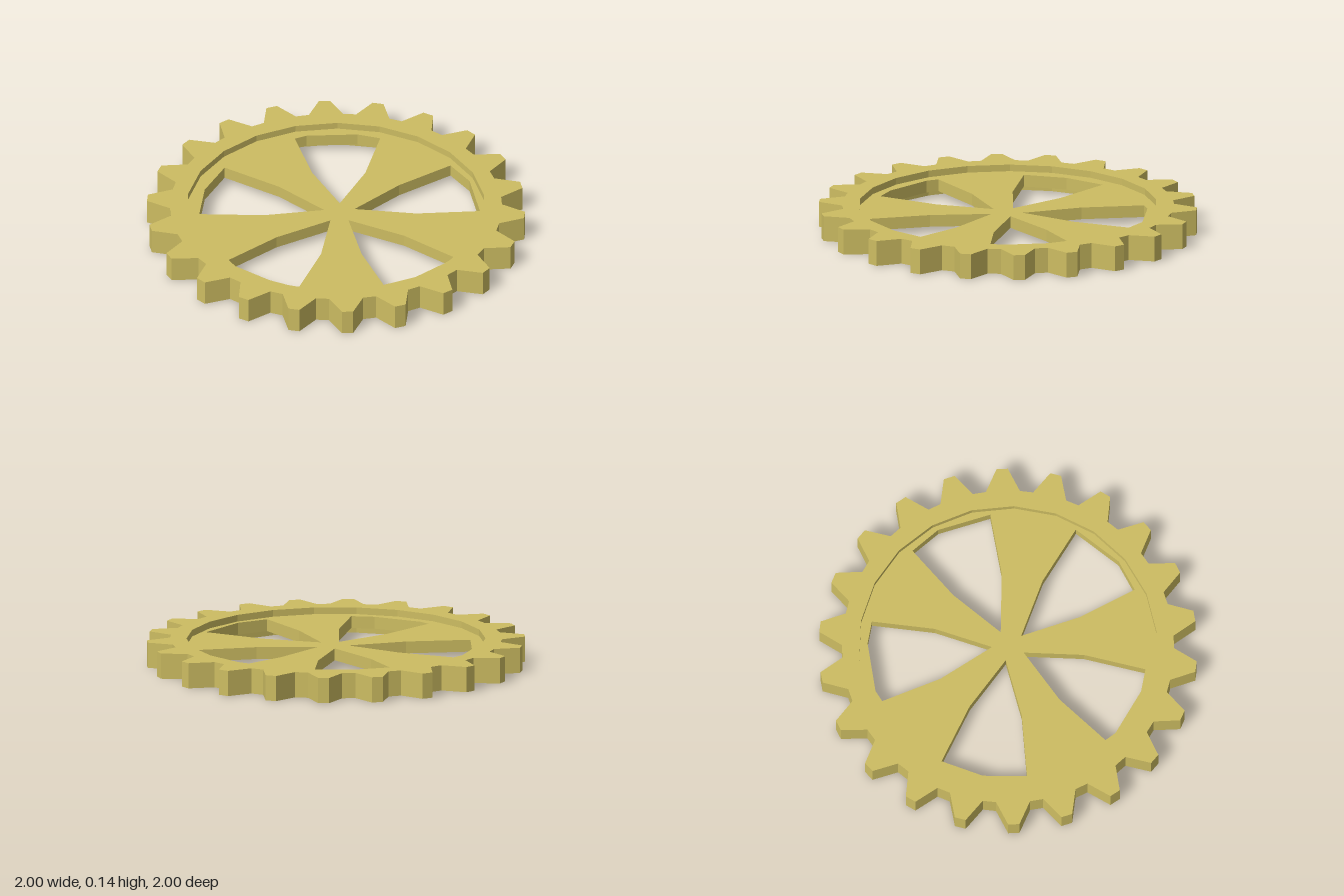
import * as THREE from 'three';

const TEETH = 22;
const STEP = (Math.PI * 2) / TEETH;
const HEIGHT = 0.136;
const RECESS = 0.036;

// Point at a counterclockwise angle from the back (-z), in plan (x, -z)
const polar = (r, a) => new THREE.Vector2(-r * Math.sin(a), r * Math.cos(a));

// Regular polygon outline
const polygon = (r) => Array.from({ length: TEETH }, (_, i) => polar(r, i * STEP));

// Extrude a plan shape upward from y0
function slab(shape, y0, height, material, name) {
  const geometry = new THREE.ExtrudeGeometry(shape, { depth: height, bevelEnabled: false });
  geometry.rotateX(-Math.PI / 2);
  geometry.translate(0, y0, 0);
  const mesh = new THREE.Mesh(geometry, material);
  mesh.name = name;
  return mesh;
}

// Toothed outline: a narrow flat tip and a short flat root per tooth
function toothOutline() {
  const deg = Math.PI / 180;
  const root = STEP / 2 - 2.3 * deg;
  const points = [];
  for (let i = 0; i < TEETH; i++) {
    const a = 4.1 * deg + i * STEP;
    points.push(
      polar(0.877, a - root), polar(1, a - 1.7 * deg),
      polar(1, a + 1.7 * deg), polar(0.877, a + root)
    );
  }
  return points;
}

// Openings between the five flared spokes, in plan (x, -z)
const sideOpening = [[-0.685, 0.23], [-0.355, 0.14], [-0.065, 0], [-0.355, -0.14], [-0.685, -0.23], [-0.725, 0]];
const mirroredOpenings = [
  [[0.02, 0.735], [-0.105, 0.735], [-0.36, 0.645], [-0.41, 0.6], [-0.23, 0.32], [-0.005, 0.085], [0.04, 0.4]],
  [[0.45, 0.597], [0.59, 0.485], [0.725, 0.23], [0.41, 0.11], [0.085, 0.055], [0.245, 0.34]],
];

export function createModel() {
  const group = new THREE.Group();
  group.name = 'gearWheel';
  const brass = new THREE.MeshStandardMaterial({ color: 0xcdbd62 });
  brass.name = 'brass';

  // Toothed rim
  const rim = new THREE.Shape(toothOutline());
  rim.holes.push(new THREE.Path(polygon(0.79)));
  group.add(slab(rim, 0, HEIGHT, brass, 'toothedRim'));

  // Thinner spoked disc, recessed on both faces and let into the rim
  const disc = new THREE.Shape(polygon(0.8));
  const addOpening = (points, flip) =>
    disc.holes.push(new THREE.Path(points.map(([x, y]) => new THREE.Vector2(x, y * flip))));
  addOpening(sideOpening, 1);
  for (const points of mirroredOpenings) {
    addOpening(points, 1);
    addOpening(points, -1);
  }
  group.add(slab(disc, RECESS, HEIGHT - 2 * RECESS, brass, 'spokedDisc'));

  return group;
}
